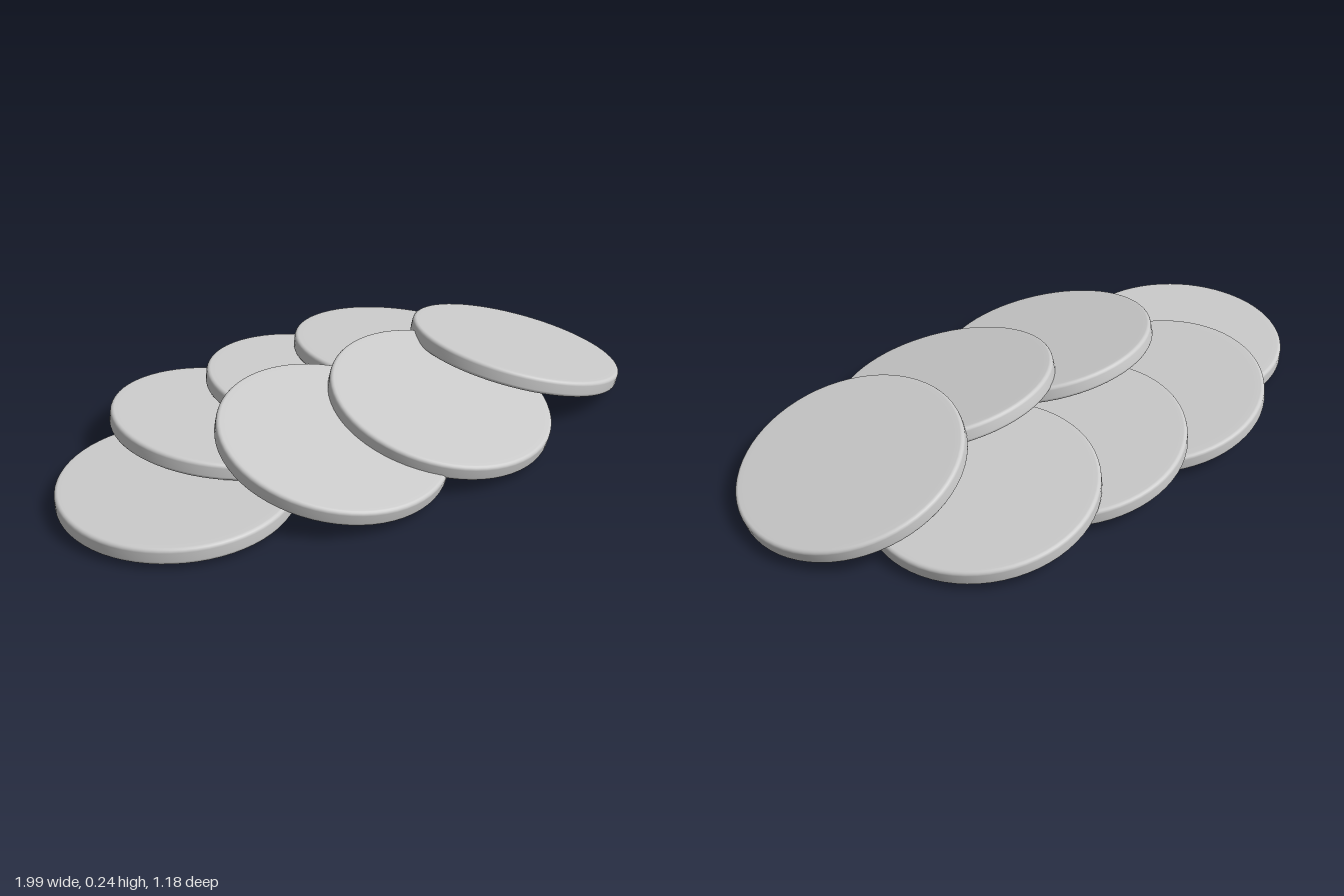
import * as THREE from 'three';

const R = 0.355; // disc radius
const T = 0.052; // disc thickness

// Disc profile with softly rounded rims, revolved about y
function discGeometry() {
  const h = T / 2, b = 0.012;
  const pts = [new THREE.Vector2(0, -h), new THREE.Vector2(R - 2.5 * b, -h)];
  for (let i = 0; i <= 4; i++) {
    const a = -Math.PI / 2 + (i / 4) * (Math.PI / 2);
    pts.push(new THREE.Vector2(R - b + b * Math.cos(a), -h + b + b * Math.sin(a)));
  }
  for (let i = 0; i <= 4; i++) {
    const a = (i / 4) * (Math.PI / 2);
    pts.push(new THREE.Vector2(R - b + b * Math.cos(a), h - b + b * Math.sin(a)));
  }
  pts.push(new THREE.Vector2(R - 2.5 * b, h), new THREE.Vector2(0, h));
  return new THREE.LatheGeometry(pts, 64);
}

// Centre (x, y, z) and the slope of each disc along x and z
const discs = [
  { name: 'baseDisc', at: [-0.65, 0.04, 0.11], slope: [0, 0] },
  { name: 'backDiscRight', at: [-0.375, 0.074, -0.12], slope: [-0.145, 0] },
  { name: 'backDiscMiddle', at: [-0.01, 0.078, -0.185], slope: [-0.14, 0] },
  { name: 'backDiscLeft', at: [0.35, 0.084, -0.235], slope: [-0.14, 0.03] },
  { name: 'frontDiscRight', at: [-0.195, 0.128, 0.24], slope: [-0.1, -0.215] },
  { name: 'frontDiscLeft', at: [0.21, 0.132, 0.215], slope: [-0.11, -0.22] },
  { name: 'endDisc', at: [0.642, 0.125, 0.033], slope: [-0.275, 0] },
];

export function createModel() {
  const group = new THREE.Group();
  group.name = 'overlappingDiscs';
  const geometry = discGeometry();
  const material = new THREE.MeshStandardMaterial({ color: 0xcccccc });
  const up = new THREE.Vector3(0, 1, 0);
  for (const { name, at, slope } of discs) {
    const disc = new THREE.Mesh(geometry, material);
    disc.name = name;
    disc.position.set(...at);
    // Lean the disc so its face follows the two slopes
    const normal = new THREE.Vector3(-slope[0], 1, -slope[1]).normalize();
    disc.quaternion.setFromUnitVectors(up, normal);
    group.add(disc);
  }
  return group;
}
